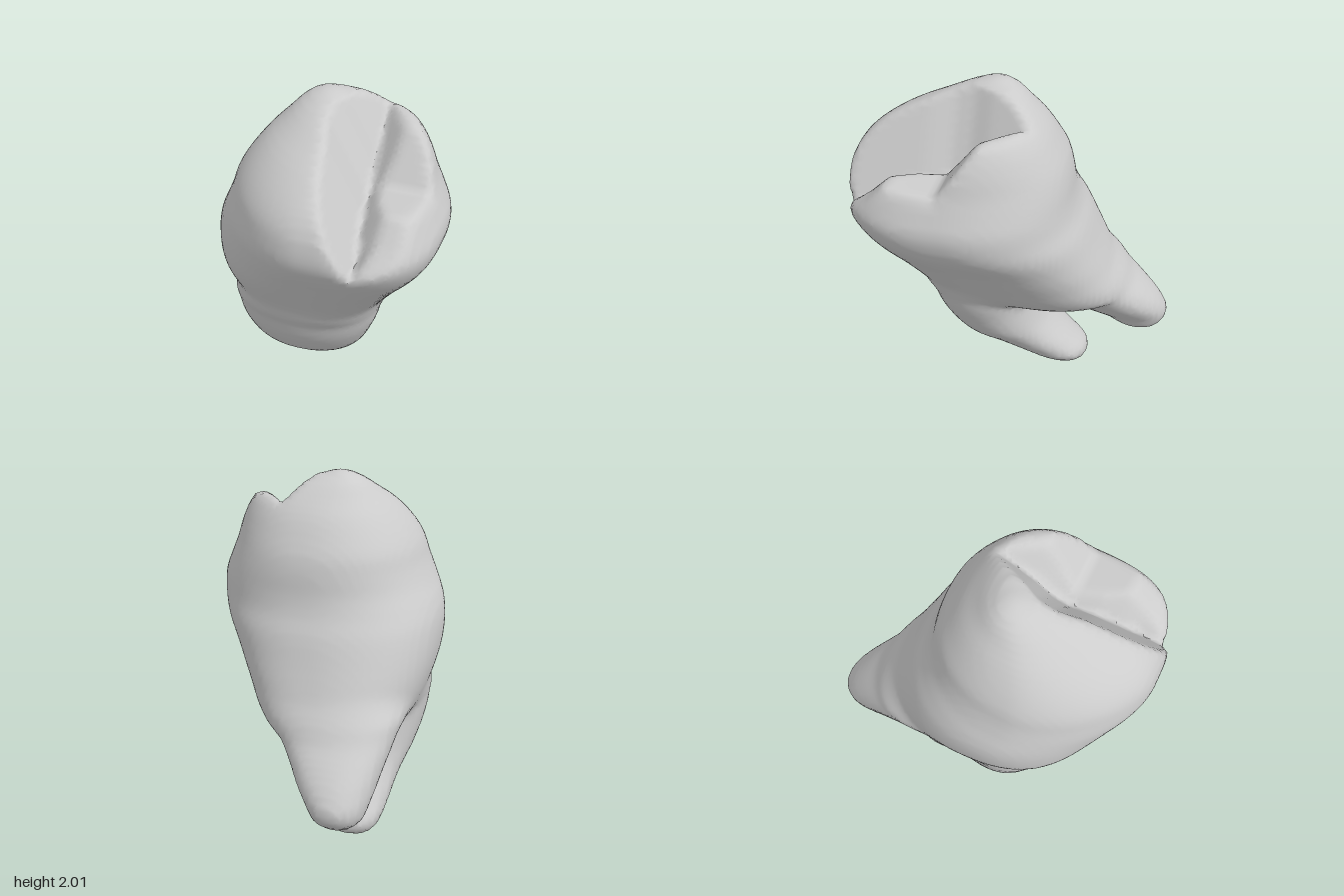
import * as THREE from 'three';

const enamel = new THREE.MeshStandardMaterial({ color: 0xcccccc });
enamel.name = 'light grey';

// Horizontal sections, bottom to top: y, xMin, xMax, zMin, zMax
const CROWN = [
  [0.62, -0.42, 0.08, -0.44, 0.26],
  [0.68, -0.53, 0.2, -0.6, 0.41],
  [0.76, -0.575, 0.285, -0.615, 0.52],
  [0.9, -0.62, 0.38, -0.555, 0.6],
  [1.05, -0.645, 0.48, -0.49, 0.69],
  [1.2, -0.645, 0.59, -0.43, 0.78],
  [1.3, -0.62, 0.635, -0.38, 0.84],
  [1.4, -0.57, 0.645, -0.35, 0.885],
  [1.5, -0.525, 0.61, -0.335, 0.885],
  [1.6, -0.49, 0.57, -0.31, 0.855],
  [1.7, -0.43, 0.54, -0.26, 0.78],
  [1.8, -0.35, 0.49, -0.2, 0.65],
  [1.88, -0.27, 0.42, -0.13, 0.49],
  [1.95, -0.2, 0.24, -0.05, 0.32],
  [1.99, -0.14, 0.08, 0.02, 0.2],
  [2.005, -0.1, -0.02, 0.06, 0.14],
];
const FRONT_ROOT = [
  [-0.005, -0.32, -0.22, -0.31, -0.23],
  [0.03, -0.4, -0.15, -0.39, -0.15],
  [0.1, -0.44, -0.07, -0.415, -0.05],
  [0.2, -0.455, 0, -0.33, 0.09],
  [0.3, -0.475, 0.07, -0.24, 0.23],
  [0.4, -0.51, 0.15, -0.17, 0.36],
  [0.55, -0.55, 0.22, -0.12, 0.46],
  [0.68, -0.57, 0.265, -0.1, 0.505],
  [0.8, -0.56, 0.27, -0.08, 0.53],
  [0.95, -0.4, 0.15, 0.05, 0.4],
];
const BACK_ROOT = [
  [0.275, -0.39, -0.31, -0.77, -0.69],
  [0.32, -0.47, -0.22, -0.845, -0.58],
  [0.4, -0.5, -0.17, -0.885, -0.46],
  [0.5, -0.52, -0.08, -0.845, -0.32],
  [0.6, -0.54, 0.01, -0.77, -0.2],
  [0.7, -0.56, 0.11, -0.68, -0.1],
  [0.8, -0.565, 0.16, -0.605, -0.02],
  [1.0, -0.4, 0.1, -0.4, 0],
];

// Squareness of each section corner: front left, front right, back right, back left
const rootCorners = () => [2.2, 2.2, 2.2, 2.2];
function crownCorners(y) {
  const t = THREE.MathUtils.smoothstep(y, 0.95, 1.35);
  return [3, 2.4 - 0.65 * t, 2.3, 2.6 - 0.4 * t];
}

// Chewing groove from back to front: z, centre x, floor y, height of the left cusps
const GROOVE = [
  [-0.15, 0.2, 1.87, 1.88],
  [-0.05, 0.21, 1.8, 1.87],
  [0.1, 0.22, 1.68, 1.85],
  [0.2, 0.22, 1.58, 1.72],
  [0.3, 0.23, 1.52, 1.59],
  [0.45, 0.25, 1.5, 1.6],
  [0.58, 0.27, 1.45, 1.61],
  [0.7, 0.3, 1.38, 1.49],
  [0.82, 0.31, 1.35, 1.39],
  [0.92, 0.32, 1.32, 1.34],
];

// Rounded minimum
function softMin(a, b, k) {
  const h = Math.max(k - Math.abs(a - b), 0) / k;
  return Math.min(a, b) - h * h * k * 0.25;
}

// Height of the chewing surface above a point
function biteHeight(x, z) {
  let i = 0;
  while (i < GROOVE.length - 2 && z > GROOVE[i + 1][0]) i++;
  const a = GROOVE[i], b = GROOVE[i + 1];
  const t = THREE.MathUtils.clamp((z - a[0]) / (b[0] - a[0]), 0, 1);
  const [, centre, floor, cusp] = a.map((v, n) => v + (b[n] - v) * t);
  if (x < centre) return floor + 1.9 * (centre - x);
  return softMin(floor + 1.2 * (x - centre), cusp, 0.03);
}

// Smoothly interpolated section at a height
function sectionAt(rows, y) {
  const last = rows.length - 1;
  let i = 0;
  while (i < last - 1 && y > rows[i + 1][0]) i++;
  const a = rows[i], b = rows[i + 1], span = b[0] - a[0];
  const before = rows[Math.max(i - 1, 0)], after = rows[Math.min(i + 2, last)];
  const t = THREE.MathUtils.clamp((y - a[0]) / span, 0, 1), s = t * t * (3 - 2 * t);
  return [1, 2, 3, 4].map((c) => {
    const slopeA = (b[c] - before[c]) / (b[0] - before[0]);
    const slopeB = (after[c] - a[c]) / (after[0] - a[0]);
    return a[c] + (b[c] - a[c]) * s
      + span * t * (1 - t) * ((1 - t) * slopeA - t * slopeB);
  });
}

// Approximate distance to a stack of sections, negative inside
function distance(rows, corners, x, y, z) {
  const [x0, x1, z0, z1] = sectionAt(rows, y);
  const dx = x - (x0 + x1) / 2, dz = z - (z0 + z1) / 2;
  const hx = (x1 - x0) / 2, hz = (z1 - z0) / 2;
  const power = corners(y)[dz > 0 ? (dx > 0 ? 0 : 1) : (dx > 0 ? 3 : 2)];
  const reach = (Math.abs(dx / hx) ** power + Math.abs(dz / hz) ** power) ** (1 / power);
  return Math.max((reach - 1) * Math.min(hx, hz), rows[0][0] - y, y - rows[rows.length - 1][0]);
}

const crownDistance = (x, y, z) => distance(CROWN, crownCorners, x, y, z);
const frontDistance = (x, y, z) => distance(FRONT_ROOT, rootCorners, x, y, z);
const backDistance = (x, y, z) => distance(BACK_ROOT, rootCorners, x, y, z);

// Crown and roots blended together, with the groove cut out
function toothDistance(x, y, z) {
  const roots = softMin(frontDistance(x, y, z), backDistance(x, y, z), 0.04);
  const body = softMin(roots, crownDistance(x, y, z), 0.06);
  return -softMin(-body, (biteHeight(x, z) - y) * 0.5, 0.03);
}

export function createModel() {
  // Sample the shape on a grid
  const step = 0.03, origin = [-0.75, -0.09, -0.99], size = [50, 74, 66];
  const stride = [1, size[0], size[0] * size[1]];
  const place = (n) => stride.map((s, a) => origin[a] + step * (Math.floor(n / s) % size[a]));
  const values = Float32Array.from({ length: size[0] * size[1] * size[2] },
    (_, n) => toothDistance(...place(n)));

  // One vertex in every grid cell that the surface crosses
  const cellVertex = new Map(), position = [];
  const inner = (n) => stride.every((s, a) => {
    const k = Math.floor(n / s) % size[a];
    return k > 0 && k < size[a] - 1;
  });
  for (let n = 0; n < values.length; n++) {
    if (!inner(n)) continue;
    const sum = new THREE.Vector3();
    let count = 0;
    for (let corner = 0; corner < 8; corner++) {
      const bits = [corner & 1, (corner >> 1) & 1, corner >> 2];
      const from = n + bits[0] * stride[0] + bits[1] * stride[1] + bits[2] * stride[2];
      for (let a = 0; a < 3; a++) {
        if (bits[a]) continue;
        const v = values[from], w = values[from + stride[a]];
        if (v < 0 === w < 0) continue;
        const cross = [...bits];
        cross[a] = v / (v - w);
        sum.add(new THREE.Vector3(...cross));
        count++;
      }
    }
    if (!count) continue;
    cellVertex.set(n, position.length / 3);
    const base = place(n);
    position.push(...sum.divideScalar(count).toArray().map((v, a) => base[a] + v * step));
  }

  // Join neighbouring cells with faces, sorted by part
  const faces = { crown: [], frontRoot: [], backRoot: [] };
  for (const n of cellVertex.keys()) {
    const p = place(n);
    const front = frontDistance(...p), back = backDistance(...p);
    const root = front < back ? 'frontRoot' : 'backRoot';
    const part = crownDistance(...p) < Math.min(front, back) ? 'crown' : root;
    for (let a = 0; a < 3; a++) {
      const inside = values[n] < 0;
      if (inside === values[n + stride[a]] < 0) continue;
      const u = stride[(a + 1) % 3], v = stride[(a + 2) % 3];
      const quad = [n, n - u, n - u - v, n - v].map((c) => cellVertex.get(c));
      if (!inside) quad.reverse();
      const [i, j, k, l] = quad;
      faces[part].push(i, j, k, i, k, l);
    }
  }

  // Shared normals keep the parts seamless
  const whole = new THREE.BufferGeometry();
  whole.setAttribute('position', new THREE.Float32BufferAttribute(position, 3));
  whole.setIndex(Object.values(faces).flat());
  whole.computeVertexNormals();

  const tooth = new THREE.Group();
  tooth.name = 'tooth';
  for (const [name, index] of Object.entries(faces)) {
    const geometry = new THREE.BufferGeometry();
    geometry.setAttribute('position', whole.getAttribute('position'));
    geometry.setAttribute('normal', whole.getAttribute('normal'));
    geometry.setIndex(index);
    const mesh = new THREE.Mesh(geometry, enamel);
    mesh.name = name;
    tooth.add(mesh);
  }
  return tooth;
}
